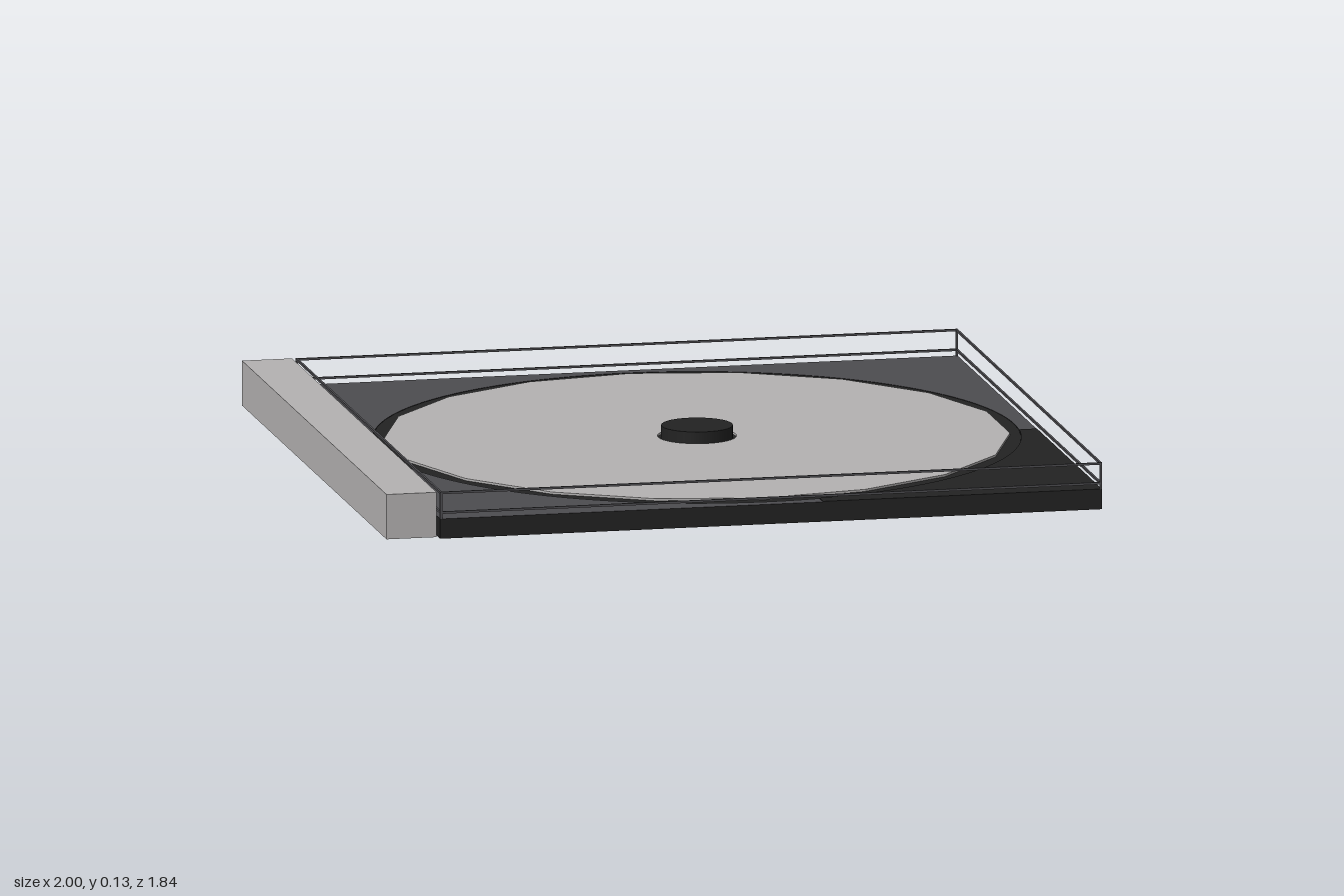
import * as THREE from 'three';

const material = (name, color) => {
  const m = new THREE.MeshStandardMaterial({ color });
  m.name = name;
  return m;
};

export function createModel() {
  const group = new THREE.Group();
  const silver = material('silver grey', 0xb4b2b2);
  const grey = material('tray grey', 0x4d4c50);
  const black = material('soft black', 0x222222);

  const cx = 0.07, left = -0.85, right = 1, half = 0.92, wellRadius = 0.885;

  const add = (name, geometry, mat, x = 0, y = 0, z = 0) => {
    const mesh = new THREE.Mesh(geometry, mat);
    mesh.name = name;
    mesh.position.set(x, y, z);
    group.add(mesh);
    return mesh;
  };
  // Flat shapes are drawn in x/z and thickened downwards from the given height
  const slab = (name, shape, depth, mat, y) => {
    const geometry = new THREE.ExtrudeGeometry(shape, { depth, bevelEnabled: false, curveSegments: 64 });
    geometry.rotateX(Math.PI / 2);
    return add(name, geometry, mat, 0, y);
  };
  const circle = (r, x = 0) => new THREE.Path().absarc(x, 0, r, 0, Math.PI * 2, true);

  // Square tray with a round well
  const tray = new THREE.Shape([[left, -half], [right, -half], [right, half], [left, half]]
    .map(([x, z]) => new THREE.Vector2(x, z)));
  tray.holes.push(circle(wellRadius, cx));
  slab('tray', tray, 0.055, [grey, black], 0.055);
  add('discWell', new THREE.CylinderGeometry(wellRadius, wellRadius, 0.054, 64), black, cx, 0.027);

  // Dark front corner of the tray
  const corner = new THREE.Shape();
  const a0 = Math.asin(0.09 / wellRadius), a1 = Math.acos(0.15 / wellRadius);
  corner.moveTo(right, 0.09);
  corner.lineTo(right, half);
  corner.lineTo(0.22, half);
  corner.absarc(cx, 0, wellRadius, a1, a0, true);
  slab('trayCorner', corner, 0.002, black, 0.0565);

  // Eighteen-sided disc with a centre hole
  const disc = new THREE.Shape(Array.from({ length: 18 }, (_, i) => {
    const a = (i / 18) * Math.PI * 2 + Math.PI / 2;
    return new THREE.Vector2(cx + 0.855 * Math.cos(a), 0.855 * Math.sin(a));
  }));
  disc.holes.push(circle(0.108, cx));
  slab('disc', disc, 0.006, silver, 0.06);

  // Hub that holds the disc
  add('hub', new THREE.CylinderGeometry(0.098, 0.098, 0.04, 32), black, cx, 0.07);

  // Hinge spine along the left edge of the plan
  add('spine', new THREE.BoxGeometry(0.14, 0.125, half * 2), silver, -0.93, 0.0675);

  // Clear lid, shown by its slim edge frame
  const t = 0.006, x0 = left + t / 2, x1 = right - t / 2, z1 = half - t / 2;
  const midX = (left + right) / 2;
  for (const y of [0.072, 0.127]) {
    for (const s of [-1, 1]) add('lidLongEdge', new THREE.BoxGeometry(right - left, t, t), grey, midX, y, s * z1);
    for (const x of [x0, x1]) add('lidSideEdge', new THREE.BoxGeometry(t, t, half * 2 - 2 * t), grey, x, y);
  }
  for (const x of [x0, x1]) {
    for (const s of [-1, 1]) add('lidCornerPost', new THREE.BoxGeometry(t, 0.069, t), grey, x, 0.0895, s * z1);
  }
  return group;
}
